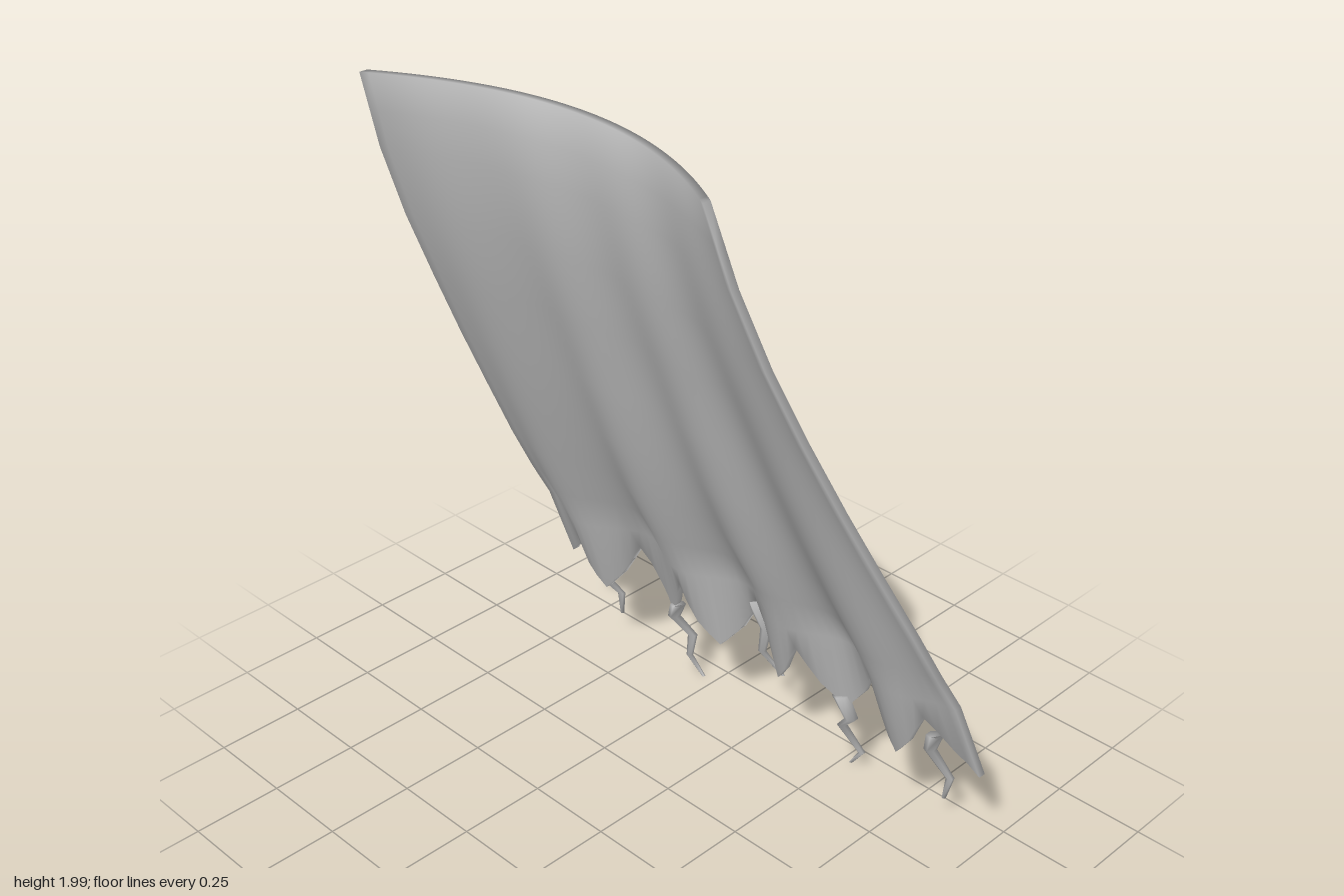
import * as THREE from 'three';

// Cloth profile: y, half width, z at the centre, z at the sides, fold depth
const PROFILE = [
  [2.0, 0.535, 0.265, 0.43, 0.0],
  [1.8, 0.560, 0.245, 0.375, 0.004],
  [1.6, 0.585, 0.190, 0.300, 0.008],
  [1.4, 0.612, 0.115, 0.210, 0.012],
  [1.2, 0.643, 0.040, 0.115, 0.016],
  [1.0, 0.675, -0.040, 0.015, 0.020],
  [0.8, 0.708, -0.130, -0.085, 0.026],
  [0.6, 0.730, -0.235, -0.185, 0.035],
  [0.45, 0.743, -0.310, -0.270, 0.043],
  [0.27, 0.755, -0.332, -0.332, 0.036],
];
const TEETH = 7, PER_TOOTH = 8, COLS = TEETH * PER_TOOTH;

function profileAt(y) {
  let i = 0;
  while (i < PROFILE.length - 2 && y < PROFILE[i + 1][0]) i++;
  const a = PROFILE[i], b = PROFILE[i + 1];
  const t = (a[0] - y) / (a[0] - b[0]);
  return a.map((v, k) => v + (b[k] - v) * t);
}

function clothPoint(u, y, offset) {
  const [, half, zc, ze, fold] = profileAt(y);
  return [u * half, y, zc + (ze - zc) * u * u - fold * Math.cos(4 * Math.PI * u) + offset];
}

// Ragged lower edge: pointed tips with narrow notches between them
function hemY(j) {
  const f = (j % PER_TOOTH) / PER_TOOTH;
  const d = Math.min(f, 1 - f) * 2;
  return d < 0.5 ? 0.275 + 0.14 * d : 0.345 + 0.22 * (d - 0.5);
}

// Thin closed shell; shared normals give softly rounded borders
function clothGeometry() {
  const rows = [2, 1.9, 1.8, 1.6, 1.4, 1.2, 1.0, 0.8, 0.65, 0.53, null];
  const pos = [], idx = [], ring = 2 * (COLS + 1);
  for (const y of rows) {
    for (let k = 0; k < ring; k++) {
      const front = k <= COLS;
      const j = front ? k : ring - 1 - k;
      pos.push(...clothPoint(j / COLS * 2 - 1, y ?? hemY(j), front ? 0.011 : -0.011));
    }
  }
  for (let i = 0; i < rows.length - 1; i++) {
    for (let k = 0; k < ring; k++) {
      const n = (k + 1) % ring;
      const a = i * ring + k, b = i * ring + n, c = a + ring, d = b + ring;
      idx.push(a, c, b, b, c, d);
    }
  }
  // Top and bottom borders
  const last = (rows.length - 1) * ring;
  for (let j = 0; j < COLS; j++) {
    const f0 = j, f1 = j + 1, b0 = ring - 1 - j, b1 = ring - 2 - j;
    idx.push(f0, f1, b1, f0, b1, b0);
    idx.push(last + f0, last + b1, last + f1, last + f0, last + b0, last + b1);
  }
  return finish(pos, idx);
}

// Tapered zigzag strand made of horizontal rings
function strandGeometry(points, sides = 6) {
  const pos = [], idx = [], n = points.length;
  points.forEach(([x, y, z], i) => {
    const r = 0.025 - 0.019 * i / (n - 1);
    for (let s = 0; s < sides; s++) {
      const a = s / sides * Math.PI * 2;
      pos.push(x + r * Math.sin(a), y + r * 0.25 * Math.sin(a), z + r * 0.8 * Math.cos(a));
    }
  });
  for (let i = 0; i < n - 1; i++) {
    for (let s = 0; s < sides; s++) {
      const a = i * sides + s, b = i * sides + (s + 1) % sides;
      idx.push(a, a + sides, b, b, a + sides, b + sides);
    }
  }
  const last = (n - 1) * sides;
  for (let s = 1; s < sides - 1; s++) {
    idx.push(0, s, s + 1, last, last + s + 1, last + s);
  }
  return finish(pos, idx);
}

function finish(pos, idx) {
  const g = new THREE.BufferGeometry();
  g.setAttribute('position', new THREE.Float32BufferAttribute(pos, 3));
  g.setIndex(idx);
  g.computeVertexNormals();
  return g;
}

export function createModel() {
  const group = new THREE.Group();
  const grey = new THREE.MeshStandardMaterial({ color: 0xcccccc });
  grey.name = 'clothGrey';

  const cloth = new THREE.Mesh(clothGeometry(), grey);
  cloth.name = 'capeCloth';
  group.add(cloth);

  // Loose threads hanging from the hem
  const strands = [
    [[-0.59, 0.34, -0.315], [-0.635, 0.24, -0.36], [-0.59, 0.18, -0.395], [-0.63, 0.07, -0.435]],
    [[-0.295, 0.31, -0.335], [-0.335, 0.24, -0.36], [-0.29, 0.18, -0.39], [-0.335, 0.07, -0.425], [-0.29, 0.01, -0.437]],
    [[-0.015, 0.455, -0.345], [0.01, 0.36, -0.37], [-0.03, 0.25, -0.40], [0.017, 0.17, -0.437]],
    [[0.31, 0.31, -0.335], [0.33, 0.23, -0.36], [0.28, 0.17, -0.385], [0.325, 0.08, -0.42], [0.277, 0.01, -0.437]],
    [[0.63, 0.36, -0.325], [0.59, 0.27, -0.365], [0.635, 0.18, -0.40], [0.595, 0.07, -0.437]],
  ];
  strands.forEach((points, i) => {
    const mesh = new THREE.Mesh(strandGeometry(points), grey);
    mesh.name = 'looseThread' + (i + 1);
    group.add(mesh);
  });
  return group;
}
